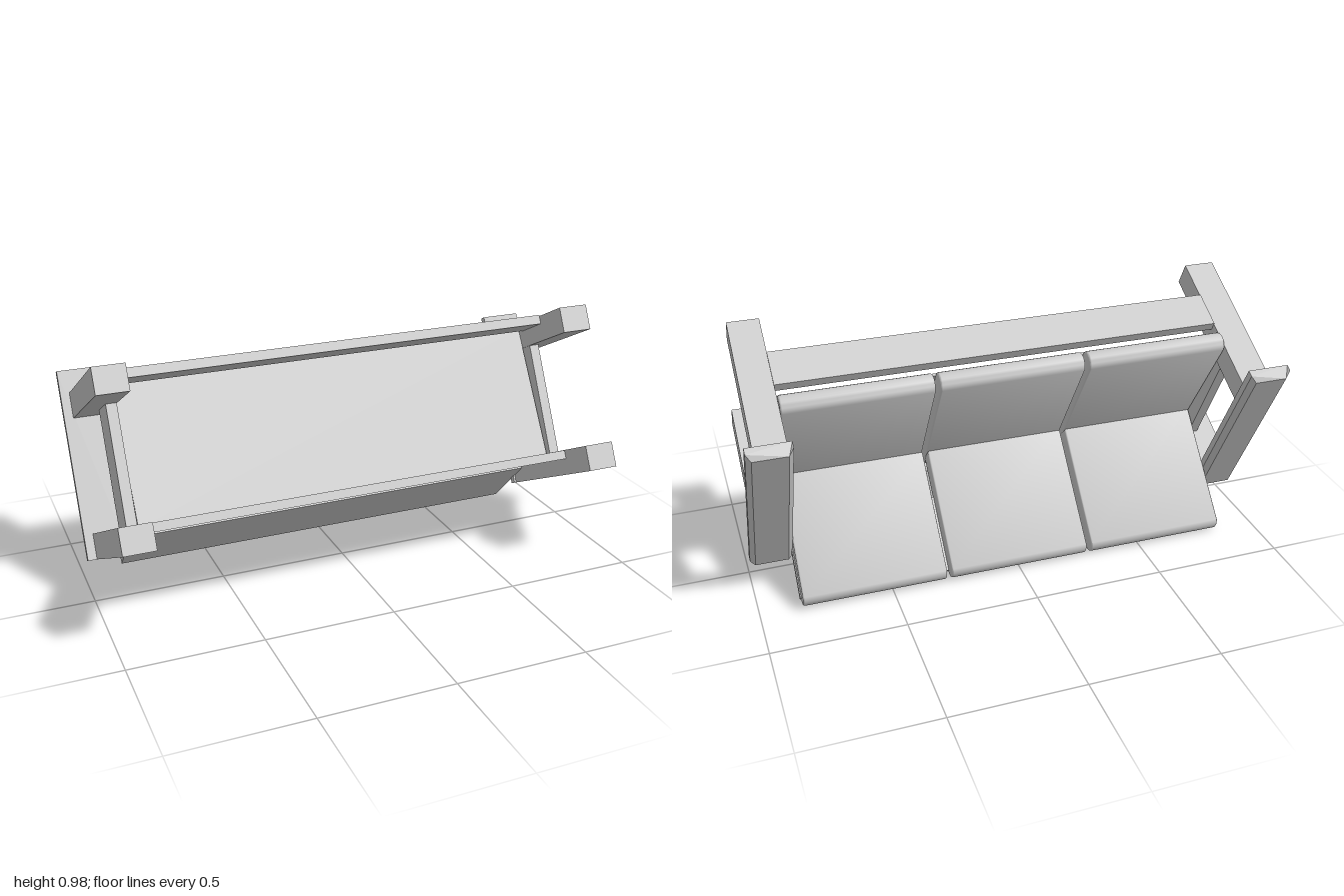
import * as THREE from 'three';
import { toCreasedNormals } from 'three/addons/utils/BufferGeometryUtils.js';

// A three-seat sofa tipped onto its back. Inside the tipped group:
// x = width, y = the sofa's own up, z = the sofa's own front.
export function createModel() {
  const grey = new THREE.MeshStandardMaterial({ color: 0xcccccc });
  grey.name = 'plain grey';

  const sofa = new THREE.Group();
  sofa.name = 'sofa';
  sofa.rotation.x = THREE.MathUtils.degToRad(-117);

  const add = (name, geometry, x = 0, y = 0, z = 0) => {
    const mesh = new THREE.Mesh(geometry, grey);
    mesh.name = name;
    mesh.position.set(x, y, z);
    sofa.add(mesh);
    return mesh;
  };

  // Box given by its limits
  const block = (name, x0, x1, y0, y1, z0, z1) =>
    add(name, new THREE.BoxGeometry(x1 - x0, y1 - y0, z1 - z0),
      (x0 + x1) / 2, (y0 + y1) / 2, (z0 + z1) / 2);

  // Tilted thin board
  const board = (name, h, d, tilt, y, z) =>
    add(name, new THREE.BoxGeometry(1.69, h, d).rotateX(tilt), 0, y, z);

  // Cushion: side profile with one bulging end, extruded across the width
  function cushionGeometry(length, thick, width, bulge, angle) {
    const b = 0.007, l = length / 2 - b, t = thick / 2 - b;
    const shape = new THREE.Shape();
    shape.moveTo(-l, -t);
    shape.lineTo(l, -t);
    shape.bezierCurveTo(l + bulge * 1.3, -t * 0.6, l + bulge * 1.3, t * 0.6, l, t);
    shape.lineTo(-l, t);
    shape.closePath();
    const depth = width - 2 * b;
    const geometry = new THREE.ExtrudeGeometry(shape, {
      depth, bevelEnabled: true, bevelSize: b, bevelThickness: b, bevelSegments: 3, curveSegments: 10,
    });
    geometry.translate(0, 0, -depth / 2).rotateZ(angle).rotateY(-Math.PI / 2);
    return toCreasedNormals(geometry, 0.7);
  }

  // Armrest: chamfered along the top edges and the front
  function armrestGeometry() {
    const w = 0.08, c = 0.018, depth = 0.729;
    const shape = new THREE.Shape([[-w, 0], [w, 0], [w, 0.026], [w - c, 0.046], [c - w, 0.046], [-w, 0.026]]
      .map(([x, y]) => new THREE.Vector2(x, y)));
    const geometry = new THREE.ExtrudeGeometry(shape, { depth, bevelEnabled: false });
    const p = geometry.attributes.position;
    for (let i = 0; i < p.count; i++) {
      if (p.getZ(i) > 0.5 && p.getY(i) > 0.04) p.setZ(i, depth - 0.02);
    }
    geometry.computeVertexNormals();
    return geometry;
  }

  // Legs, side rails and armrests
  for (const [side, s] of [['left', 1], ['right', -1]]) {
    const mirrored = (name, a, b, ...rest) =>
      block(side + name, Math.min(s * a, s * b), Math.max(s * a, s * b), ...rest);
    mirrored('RearLeg', 0.847, 0.965, -0.586, 0.014, 0.152, 0.25);
    mirrored('FrontLeg', 0.847, 0.965, -0.586, 0.014, 0.695, 0.793);
    mirrored('SideRail', 0.85, 0.89, -0.306, -0.142, 0.25, 0.695);
    add(side + 'Armrest', armrestGeometry(), s * 0.919, 0.014, 0.152);
  }

  // Seat frame and back board
  block('frontRail', -0.848, 0.848, -0.427, -0.28, 0.762, 0.798);
  block('rearRail', -0.848, 0.848, -0.427, -0.25, 0.215, 0.249);
  board('seatBoard', 0.01, 0.54, -0.074, -0.264, 0.505);
  board('backBoard', 0.29, 0.025, -0.332, 0.0805, 0.174).position.set(0, 0.081, 0.174);

  // Three seat cushions and three back cushions
  const seat = cushionGeometry(0.54, 0.08, 0.552, 0.026, 0.074);
  const back = cushionGeometry(0.472, 0.077, 0.548, 0.02, 1.903);
  for (let i = -1; i <= 1; i++) {
    add('seatCushion', seat, i * 0.57, -0.222, 0.52);
    add('backCushion', back, i * 0.567, 0.018, 0.233);
  }

  // Very slight roll and turn of the whole piece
  const model = new THREE.Group();
  model.name = 'tippedSofa';
  model.rotation.set(0, -0.0045, 0.0045);
  model.position.set(0, -0.002, -0.003);
  model.add(sofa);
  return model;
}
